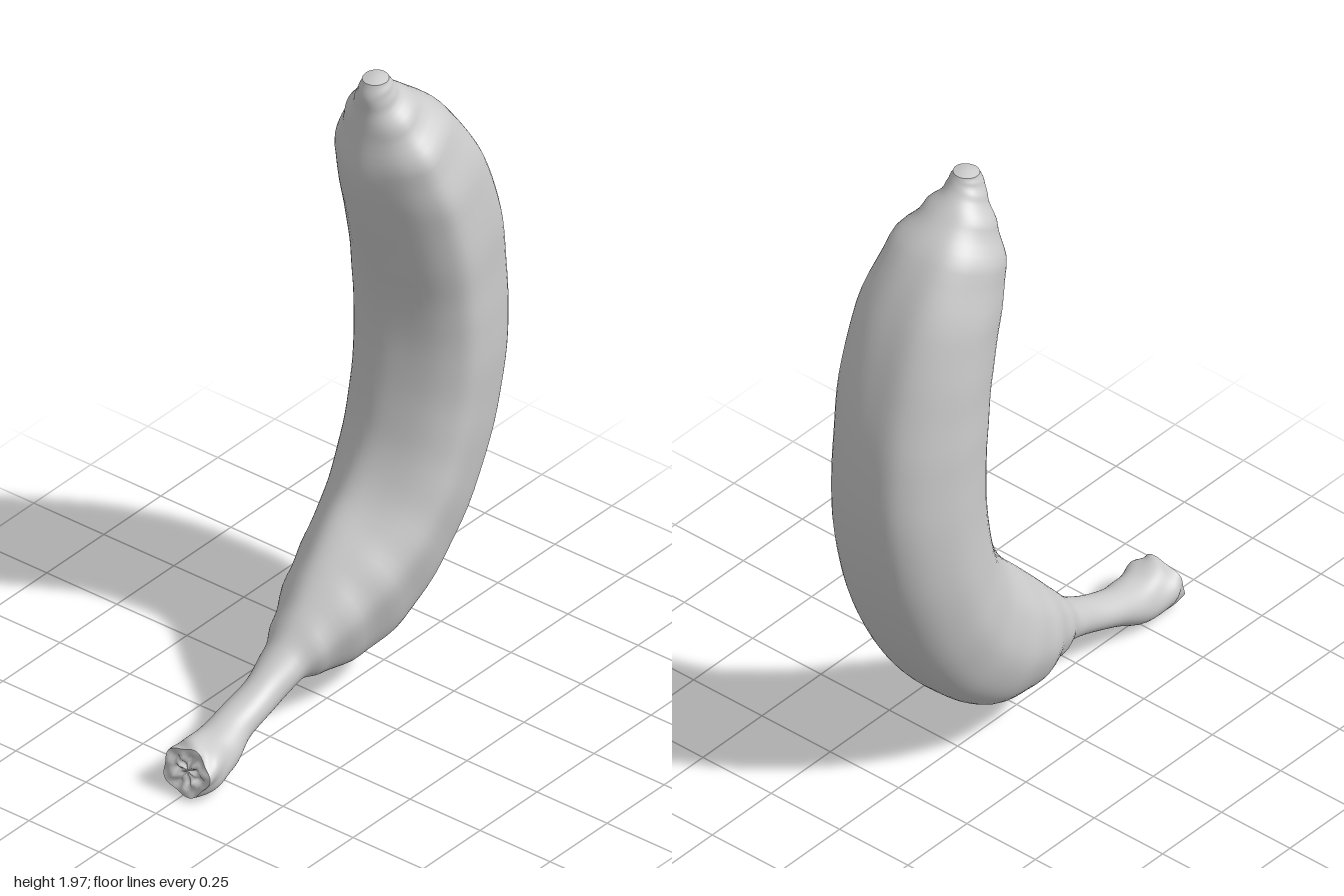
import * as THREE from 'three';

// Stations from the stem cut to the blossom tip:
// [inner z, inner y, outer z, outer y, min x, max x, roundness]
const STATIONS = [
  [0.615, 0.155, 0.645, 0.02, -0.07, 0.09, 1],
  [0.58, 0.16, 0.59, 0.01, -0.08, 0.095, 1],
  [0.50, 0.155, 0.49, 0.015, -0.075, 0.075, 1],
  [0.40, 0.175, 0.37, 0.075, -0.07, 0.05, 1],
  [0.30, 0.21, 0.26, 0.115, -0.065, 0.05, 1],
  [0.20, 0.27, 0.16, 0.15, -0.08, 0.06, 0.8],
  [0.13, 0.345, 0.08, 0.135, -0.11, 0.09, 0.5],
  [0.04, 0.445, -0.06, 0.125, -0.155, 0.13, 0.2],
  [-0.04, 0.53, -0.22, 0.17, -0.18, 0.165, 0],
  [-0.12, 0.62, -0.38, 0.29, -0.19, 0.185, 0],
  [-0.18, 0.74, -0.52, 0.48, -0.20, 0.20, 0],
  [-0.21, 0.88, -0.62, 0.73, -0.205, 0.21, 0],
  [-0.22, 1.04, -0.66, 0.98, -0.205, 0.22, 0],
  [-0.21, 1.20, -0.65, 1.20, -0.20, 0.225, 0],
  [-0.18, 1.36, -0.61, 1.41, -0.19, 0.235, 0],
  [-0.14, 1.53, -0.535, 1.62, -0.18, 0.23, 0],
  [-0.115, 1.68, -0.42, 1.80, -0.155, 0.195, 0.2],
  [-0.13, 1.80, -0.32, 1.885, -0.10, 0.125, 0.6],
  [-0.14, 1.88, -0.26, 1.935, -0.05, 0.075, 1],
  [-0.14, 1.93, -0.24, 1.96, -0.03, 0.065, 1],
  [-0.155, 1.97, -0.23, 1.975, -0.02, 0.055, 1],
];

// Ridged peel section: x from -1 to 1, depth from 0 (inner) to 1 (outer)
const RIDGES = [
  [-0.16, 0], [0.3, 0.06], [0.8, 0.2], [1, 0.35], [0.9, 0.62], [0.7, 0.87],
  [0.35, 0.98], [-0.1, 1], [-0.55, 0.96], [-0.85, 0.8], [-1, 0.55], [-0.86, 0.27], [-0.55, 0.1],
];

const AROUND = 64;
const PER_STATION = 5;

export function createModel() {
  const curve = (f) => new THREE.CatmullRomCurve3(STATIONS.map((s) => new THREE.Vector3(...f(s))), false, 'centripetal');
  const inner = curve((s) => [0, s[1], s[0]]);
  const outer = curve((s) => [0, s[3], s[2]]);
  const section = new THREE.CatmullRomCurve3(RIDGES.map(([x, d]) => new THREE.Vector3(x, d, 0)), true);
  const ring = section.getPoints(AROUND).slice(0, AROUND);

  const rows = (STATIONS.length - 1) * PER_STATION;
  const positions = [];
  const p = new THREE.Vector3();

  // Skin rings, blending from a round stem to the ridged fruit
  for (let i = 0; i <= rows; i++) {
    const u = i / rows;
    const k = Math.min(Math.floor(i / PER_STATION), STATIONS.length - 2);
    const f = THREE.MathUtils.smoothstep(i / PER_STATION - k, 0, 1);
    const mix = (c) => THREE.MathUtils.lerp(STATIONS[k][c], STATIONS[k + 1][c], f);
    const [minX, maxX, round] = [mix(4), mix(5), mix(6)];
    const a = inner.getPoint(u), b = outer.getPoint(u);
    const knob = Math.max(0, 1 - u / 0.12);
    for (let j = 0; j < AROUND; j++) {
      const t = (j / AROUND) * Math.PI * 2;
      const x = THREE.MathUtils.lerp(ring[j].x, Math.sin(t), round);
      const d = THREE.MathUtils.lerp(ring[j].y, 0.5 - 0.5 * Math.cos(t), round);
      const bump = 1 + 0.07 * knob * Math.sin(5 * t + i * 0.5) + 0.006 * Math.sin(3 * t + i * 0.35);
      p.lerpVectors(a, b, 0.5 + (d - 0.5) * bump);
      positions.push((minX + maxX) / 2 + ((maxX - minX) / 2) * x * bump, Math.max(0, p.y), p.z);
    }
  }

  // Skin triangles between two rows
  const strip = (from, to) => {
    const index = [];
    for (let i = from; i < to; i++) {
      for (let j = 0; j < AROUND; j++) {
        const n = (j + 1) % AROUND;
        const a = i * AROUND + j, b = i * AROUND + n, c = a + AROUND, d = b + AROUND;
        index.push(a, b, c, b, d, c);
      }
    }
    return index;
  };
  const skin = new THREE.BufferGeometry();
  skin.setAttribute('position', new THREE.Float32BufferAttribute(positions, 3));
  skin.setIndex(strip(0, rows));
  skin.computeVertexNormals();

  const material = new THREE.MeshStandardMaterial({ color: 0xcccccc, roughness: 0.8 });
  const group = new THREE.Group();
  group.name = 'banana';
  const add = (name, geometry) => {
    const mesh = new THREE.Mesh(geometry, material);
    mesh.name = name;
    group.add(mesh);
  };

  // Stem, fruit and tip share one set of smooth normals
  const stemEnd = 5 * PER_STATION, tipStart = 17 * PER_STATION;
  for (const [name, from, to] of [['stem', 0, stemEnd], ['fruit', stemEnd, tipStart], ['blossomTip', tipStart, rows]]) {
    const part = new THREE.BufferGeometry();
    part.setAttribute('position', skin.attributes.position);
    part.setAttribute('normal', skin.attributes.normal);
    part.setIndex(strip(from, to));
    add(name, part);
  }

  // End caps: shrinking rings toward a centre, roughened or domed along an axis
  const cap = (row, axis, height, flip) => {
    const edge = positions.slice(row * AROUND * 3, (row + 1) * AROUND * 3);
    const centre = new THREE.Vector3();
    for (let j = 0; j < AROUND; j++) centre.add(p.fromArray(edge, j * 3));
    centre.divideScalar(AROUND);
    const pts = [], index = [], rings = 6;
    for (let r = 0; r <= rings; r++) {
      for (let j = 0; j < AROUND; j++) {
        p.fromArray(edge, j * 3).lerp(centre, r / rings);
        p.addScaledVector(axis, height(r / rings, (j / AROUND) * Math.PI * 2));
        pts.push(p.x, p.y, p.z);
        if (r === rings) continue;
        const n = (j + 1) % AROUND;
        const a = r * AROUND + j, b = r * AROUND + n, c = a + AROUND, d = b + AROUND;
        if (flip) index.push(a, c, b, b, c, d);
        else index.push(a, b, c, b, d, c);
      }
    }
    const g = new THREE.BufferGeometry();
    g.setAttribute('position', new THREE.Float32BufferAttribute(pts, 3));
    g.setIndex(index);
    g.computeVertexNormals();
    return g;
  };
  const rough = (r, t) => Math.sin(r * Math.PI) * (0.006 * Math.sin(4 * t + r * 9) + 0.005 * Math.sin(7 * t - r * 5)) - 0.008 * r;
  add('stemCut', cap(0, new THREE.Vector3(0, 0, 1), rough, true));
  add('tipCap', cap(rows, new THREE.Vector3(0, 1, 0), (r) => 0.008 * Math.sin((r * Math.PI) / 2), false));

  return group;
}
